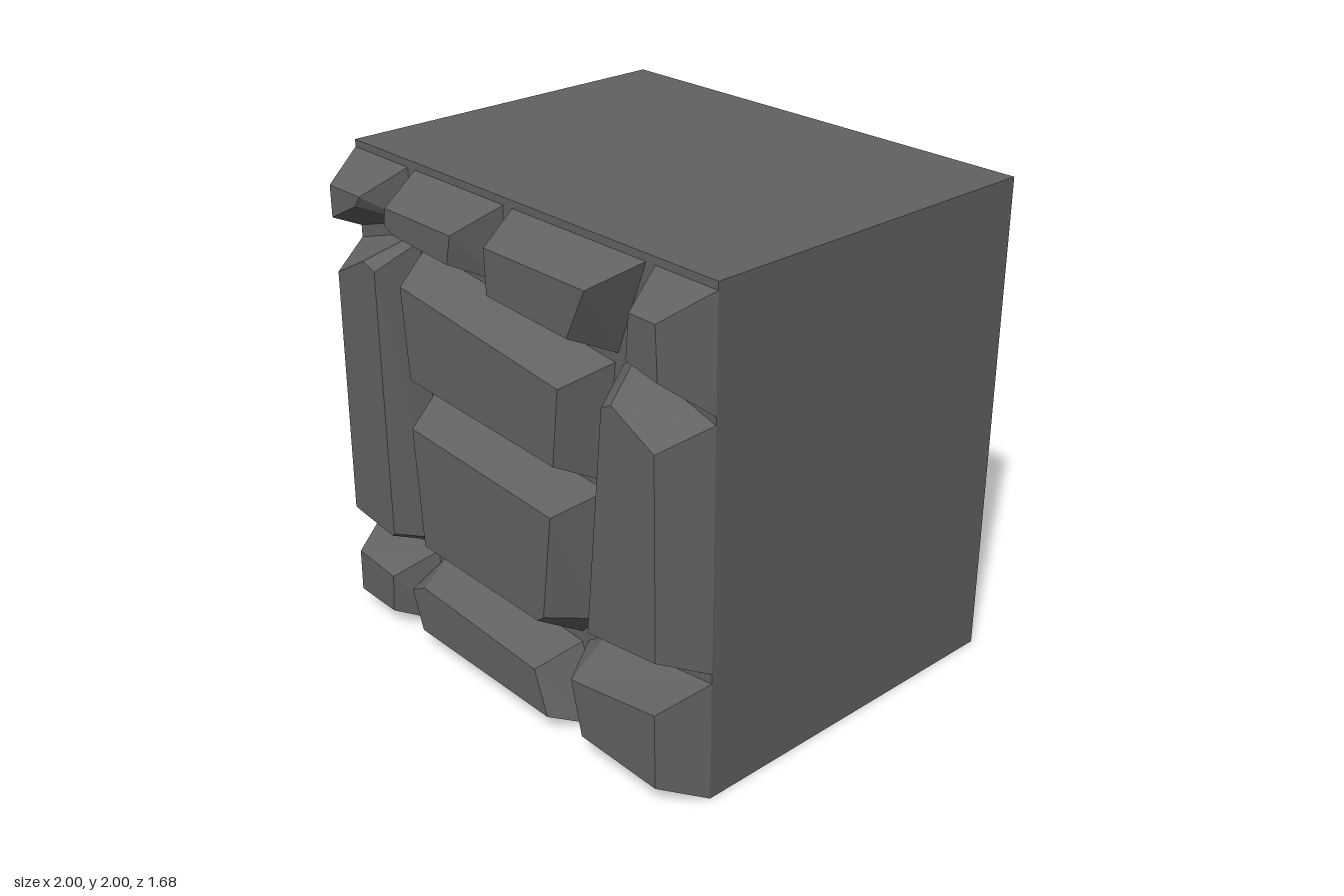
import * as THREE from 'three';

const BACK = -0.845, WALL = 0.655, FACE = 0.84;

// Each stone: outline on the wall, then the smaller front face; both anticlockwise, x,y pairs
const STONES = {
  topLeftStone: [[-1, 1.65, -.655, 1.755, -.655, 1.97, -1, 1.97],
    [-.91, 1.75, -.745, 1.835, -.715, 1.88, -.91, 1.88]],
  topInnerLeftStone: [[-.61, 1.74, -.58, 1.715, -.105, 1.67, -.08, 1.97, -.61, 1.97],
    [-.56, 1.81, -.5, 1.785, -.18, 1.765, -.155, 1.88, -.55, 1.88]],
  topInnerRightStone: [[-.06, 1.66, .525, 1.6, .665, 1.97, -.03, 1.97],
    [.045, 1.715, .475, 1.69, .57, 1.89, .04, 1.89]],
  topRightStone: [[.635, 1.645, 1, 1.53, 1, 1.97, .71, 1.97],
    [.77, 1.71, .92, 1.68, .91, 1.88, .785, 1.88]],
  tallLeftStone: [[-1, .4, -.6, .385, -.565, .41, -.605, 1.69, -.63, 1.715, -1, 1.6],
    [-.915, .485, -.66, .455, -.645, .47, -.65, 1.6, -.72, 1.625, -.9, 1.53]],
  upperCentreStone: [[-.545, 1.13, .455, 1.08, .51, 1.56, -.57, 1.675],
    [-.455, 1.22, .385, 1.175, .42, 1.485, -.485, 1.59]],
  lowerCentreStone: [[-.51, .42, .305, .38, .41, .485, .455, 1.04, -.545, 1.095],
    [-.43, .505, .27, .49, .305, .52, .36, .96, -.465, 1.01]],
  tallRightStone: [[.45, .49, 1, .535, 1, 1.5, .61, 1.61, .55, 1.565],
    [.555, .575, .91, .62, .905, 1.42, .695, 1.525, .645, 1.495]],
  bottomLeftStone: [[-1, 0, -.585, 0, -.605, .335, -1, .355],
    [-.915, .09, -.69, .085, -.675, .255, -.91, .275]],
  bottomCentreStone: [[-.555, 0, .4, 0, .305, .335, -.505, .375, -.565, .32],
    [-.48, .09, .31, .08, .24, .26, -.455, .3, -.54, .255]],
  bottomRightStone: [[.425, 0, 1, 0, 1, .495, .44, .425, .34, .355],
    [.51, .1, .91, .09, .905, .4, .5, .33, .455, .325]],
};

// Bevelled block: sloping sides between the two outlines, plus a front cap
function stoneGeometry(outer, inner) {
  const n = outer.length / 2, pos = [];
  const o = i => [outer[2 * (i % n)], outer[2 * (i % n) + 1], WALL];
  const f = i => [inner[2 * (i % n)], inner[2 * (i % n) + 1], FACE];
  for (let i = 0; i < n; i++) {
    pos.push(...o(i), ...o(i + 1), ...f(i + 1), ...o(i), ...f(i + 1), ...f(i));
    if (i > 0 && i < n - 1) pos.push(...f(0), ...f(i), ...f(i + 1));
  }
  const g = new THREE.BufferGeometry();
  g.setAttribute('position', new THREE.Float32BufferAttribute(pos, 3));
  g.computeVertexNormals();
  return g;
}

export function createModel() {
  const model = new THREE.Group();
  model.name = 'stoneWallBlock';
  const stone = new THREE.MeshStandardMaterial({ color: 0x646260, flatShading: true });
  stone.name = 'grey stone';

  // Plain block behind the stones
  const core = new THREE.Mesh(new THREE.BoxGeometry(2, 2, WALL - BACK), stone);
  core.position.set(0, 1, (WALL + BACK) / 2);
  core.name = 'wallCore';
  model.add(core);

  // Raised stones on the front
  for (const [name, [outer, inner]] of Object.entries(STONES)) {
    const mesh = new THREE.Mesh(stoneGeometry(outer, inner), stone);
    mesh.name = name;
    model.add(mesh);
  }
  return model;
}
